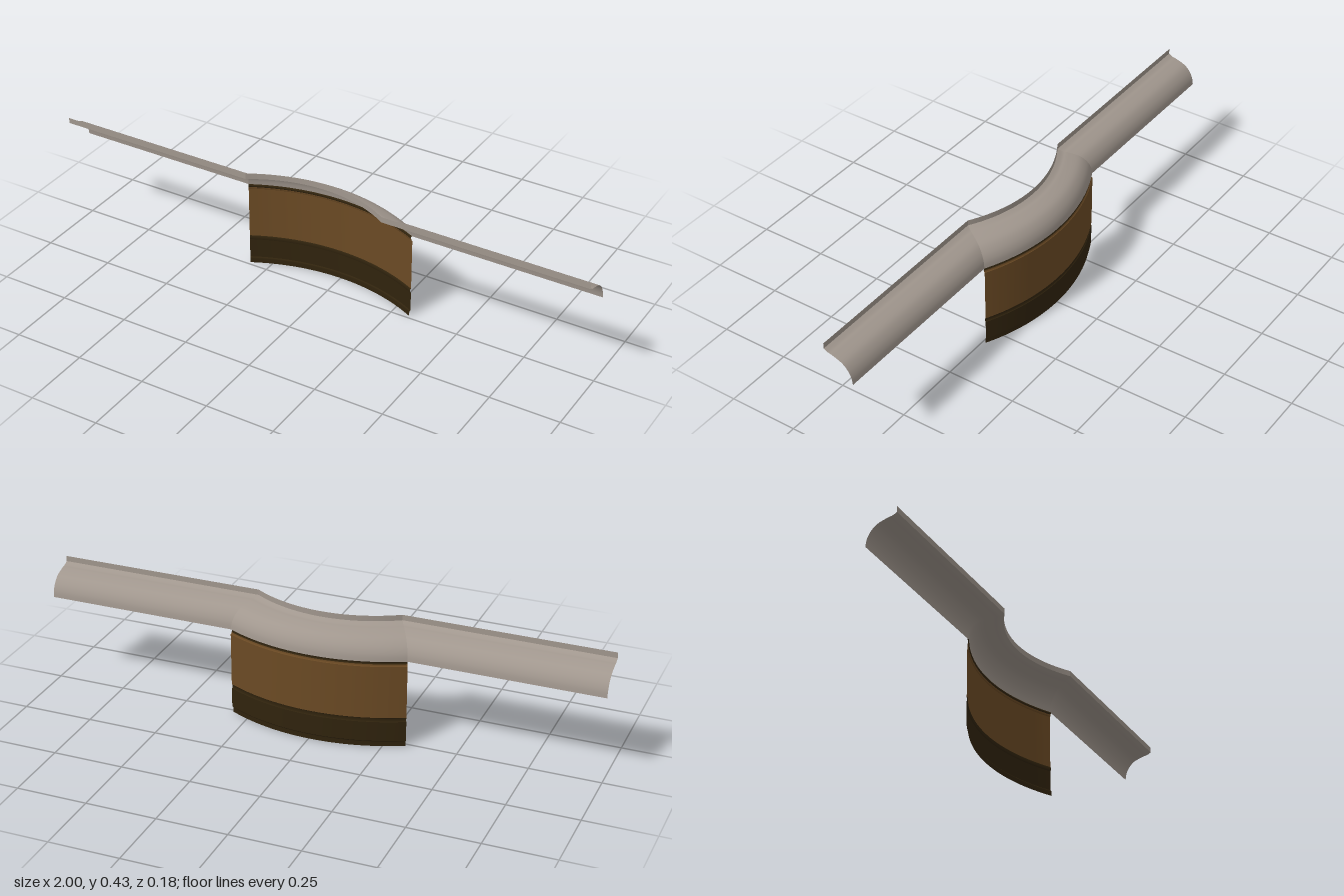
import * as THREE from 'three';

const CENTER_X = -0.004;  // middle of the bow
const BACK_Z = -0.014;    // wall line of the straight runs
const SAG = 0.077;        // depth of the bow
const ANGLE = 0.467;      // half angle of the bow

// Half width of the bow at a forward offset u from the wall line
const halfWidth = (u) => 0.32 - 0.55 * u;

// Point on the bow: t runs -1..1 from end to end
function bow(t, u) {
  const x = CENTER_X + halfWidth(u) * Math.sin(t * ANGLE) / Math.sin(ANGLE);
  const z = BACK_Z + u - SAG * (Math.cos(t * ANGLE) - Math.cos(ANGLE)) / (1 - Math.cos(ANGLE));
  return [x, z];
}

// Straight run on one side, from the mitre with the bow out to the end
function straight(side) {
  return (t, u) => {
    const inner = CENTER_X + side * halfWidth(u);
    const s = side > 0 ? t : 1 - t;
    return [inner + (side - inner) * s, BACK_Z + u];
  };
}

// Sweep a profile of [u, y] points along a path
function sweep(name, profile, path, t0, t1, steps, material) {
  const pos = [], index = [], n = profile.length;
  for (let i = 0; i <= steps; i++) {
    const t = t0 + (t1 - t0) * i / steps;
    for (const [u, y] of profile) {
      const [x, z] = path(t, u);
      pos.push(x, y, z);
    }
  }
  for (let i = 0; i < steps; i++) {
    for (let j = 0; j < n - 1; j++) {
      const a = i * n + j, b = a + n;
      index.push(a, b, a + 1, b, b + 1, a + 1);
    }
  }
  const geometry = new THREE.BufferGeometry();
  geometry.setAttribute('position', new THREE.Float32BufferAttribute(pos, 3));
  geometry.setIndex(index);
  geometry.computeVertexNormals();
  const mesh = new THREE.Mesh(geometry, material);
  mesh.name = name;
  return mesh;
}

export function createModel() {
  const make = (name, color) => {
    const m = new THREE.MeshStandardMaterial({ color, side: THREE.DoubleSide });
    m.name = name;
    return m;
  };
  const plaster = make('warm grey plaster', 0xa1978e);
  const wood = make('brown panel', 0x6b4a24);
  const darkWood = make('dark brown trim', 0x30230d);

  const model = new THREE.Group();
  model.name = 'bowedWallWithCornice';

  // Cove cornice: smooth quarter curve with an upright lip
  const coveCurve = new THREE.SplineCurve([
    [0, 0.32], [0.004, 0.344], [0.016, 0.368], [0.038, 0.389],
    [0.073, 0.402], [0.09, 0.406], [0.106, 0.414],
  ].map(([u, y]) => new THREE.Vector2(u, y)));
  const cove = coveCurve.getPoints(24).map((p) => [p.x, p.y]);
  const lip = [[0.106, 0.414], [0.106, 0.434]];

  const cornice = new THREE.Group();
  cornice.name = 'cornice';
  const runs = [
    ['right', straight(-1), 0, 1, 4],
    ['bowed', bow, -1, 1, 40],
    ['left', straight(1), 0, 1, 4],
  ];
  for (const [name, path, t0, t1, steps] of runs) {
    cornice.add(sweep(name + 'Cove', cove, path, t0, t1, steps, plaster));
    cornice.add(sweep(name + 'Lip', lip, path, t0, t1, steps, plaster));
  }
  model.add(cornice);

  // Bowed wall: skirting, panel and top trim
  const wall = new THREE.Group();
  wall.name = 'bowedWall';
  const addWall = (name, profile, material) =>
    wall.add(sweep(name, profile, bow, -1, 1, 40, material));

  addWall('skirtingFoot', [[0.003, 0], [0.003, 0.017], [0.0015, 0.02], [-0.001, 0.022]], darkWood);
  addWall('skirtingBoard', [[-0.001, 0.022], [-0.001, 0.094]], darkWood);
  addWall('skirtingCap', [[-0.001, 0.094], [0.002, 0.096], [0.002, 0.107], [-0.001, 0.11]], darkWood);
  addWall('wallPanel', [[-0.001, 0.11], [-0.001, 0.302]], wood);
  addWall('panelBead', [[-0.001, 0.302], [0.002, 0.304], [0.002, 0.31]], wood);
  addWall('topTrim', [[0.002, 0.31], [0.004, 0.313], [0.004, 0.318], [0, 0.32]], darkWood);
  model.add(wall);

  return model;
}
